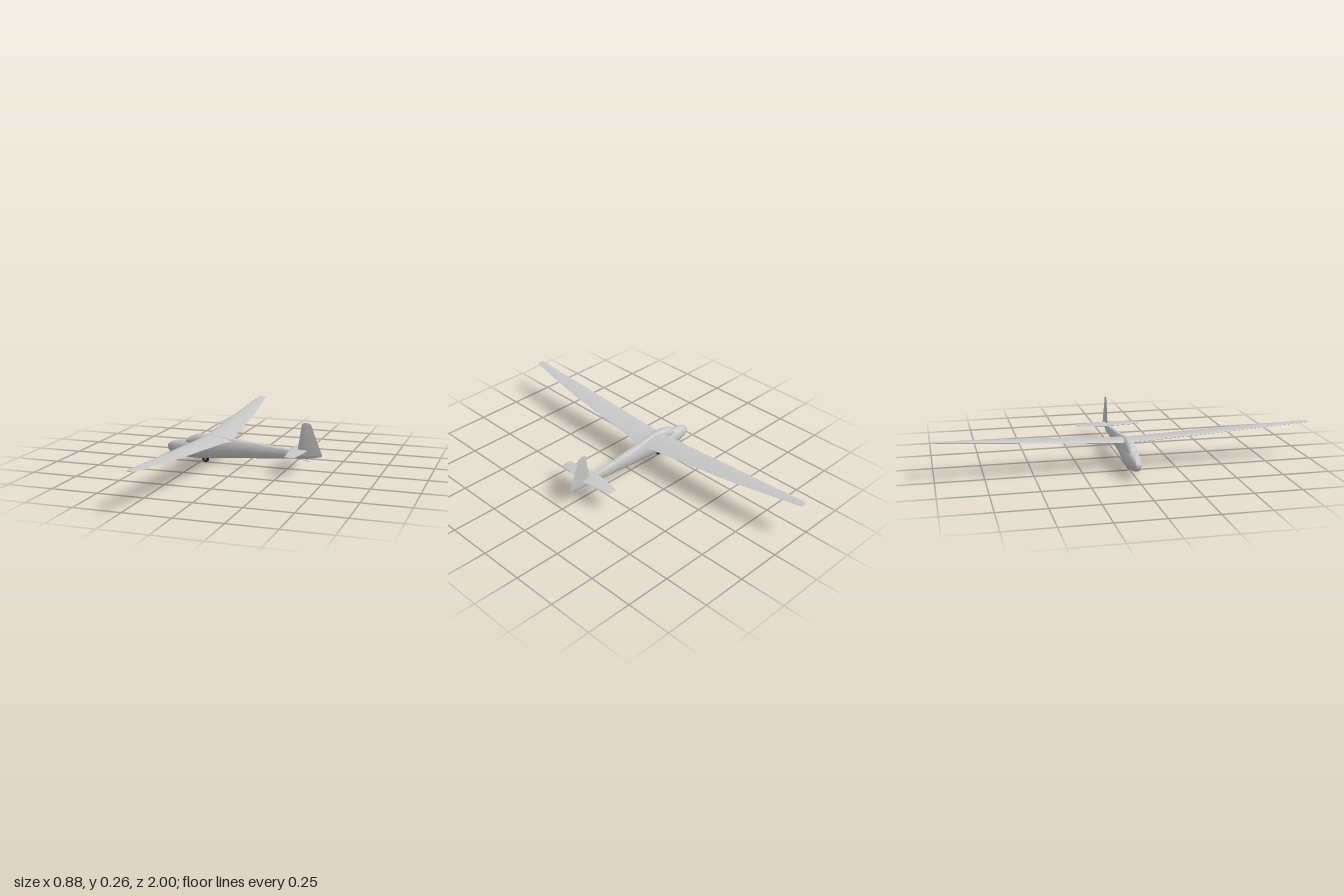
import * as THREE from 'three';
import { toCreasedNormals } from 'three/addons/utils/BufferGeometryUtils.js';

const paint = new THREE.MeshStandardMaterial({ color: 0xc8c8c8 });
paint.name = 'lightGreyPaint';
const rubber = new THREE.MeshStandardMaterial({ color: 0x1c1c1c });
rubber.name = 'blackRubber';

// Skins a row of closed rings and caps both ends
function loft(rings, crease = 0.7) {
  const n = rings[0].length, m = rings.length, pos = [], idx = [];
  rings.forEach(r => r.forEach(p => pos.push(...p)));
  for (const r of [rings[0], rings[m - 1]]) {
    pos.push(...[0, 1, 2].map(k => r.reduce((s, p) => s + p[k], 0) / n));
  }
  for (let j = 0; j < n; j++) {
    const k = (j + 1) % n;
    for (let i = 0; i < m - 1; i++) {
      const a = i * n + j, b = i * n + k;
      idx.push(a, a + n, b, b, a + n, b + n);
    }
    idx.push(m * n, j, k, m * n + 1, (m - 1) * n + k, (m - 1) * n + j);
  }
  const g = new THREE.BufferGeometry();
  g.setAttribute('position', new THREE.Float32BufferAttribute(pos, 3));
  g.setIndex(idx);
  return toCreasedNormals(g, crease);
}

// Oval body from stations [x, bottom, top, halfWidth], smoothed along its length
function body(stations, n = 32, steps = 60) {
  const side = new THREE.CatmullRomCurve3(stations.map(s => new THREE.Vector3(s[0], s[1], s[3])));
  const top = new THREE.CatmullRomCurve3(stations.map(s => new THREE.Vector3(s[0], s[2], 0)));
  const rings = [];
  for (let i = 0; i <= steps; i++) {
    const p = side.getPoint(i / steps), q = top.getPoint(i / steps);
    const cy = (p.y + q.y) / 2, h = (q.y - p.y) / 2;
    rings.push(Array.from({ length: n }, (_, j) => {
      const a = (j / n) * Math.PI * 2;
      return [p.x, cy + h * Math.sin(a), p.z * Math.cos(a)];
    }));
  }
  return loft(rings, 1.2);
}

// Aerofoil outline: out along one face, back along the other
function foil(le, te, up, down, place) {
  const n = 12, ring = [];
  const shape = u => 2.6 * Math.sqrt(u) * (1 - u) * (1 - 0.25 * u) + 0.03;
  for (let i = 0; i < n * 2; i++) {
    const a = (i / n) * Math.PI, u = (1 - Math.cos(a)) / 2;
    const off = i === 0 || i === n ? 0 : i < n ? up * shape(u) : -down * shape(u);
    ring.push(place(le + (te - le) * u, off, u));
  }
  return ring;
}

// Wing through both sides from half-span stations [z, le, te, leY, teY, up, down]
function fullSpan(half) {
  const all = [...half.map(s => [-s[0], ...s.slice(1)]).reverse(), ...half];
  return loft(all.map(([z, le, te, y0, y1, up, down]) =>
    foil(le, te, up, down, (x, off, u) => [x, y0 + (y1 - y0) * u + off, z])));
}

export function createModel() {
  const model = new THREE.Group();
  const add = (name, geo, mat, parent = model) => {
    const mesh = new THREE.Mesh(geo, mat);
    mesh.name = name;
    parent.add(mesh);
    return mesh;
  };

  // Fuselage and the raised cockpit fairing
  add('fuselage', body([
    [-0.443, 0.073, 0.075, 0.001], [-0.438, 0.059, 0.089, 0.012], [-0.425, 0.047, 0.1, 0.02],
    [-0.4, 0.036, 0.11, 0.028], [-0.36, 0.027, 0.117, 0.035], [-0.31, 0.022, 0.122, 0.038],
    [-0.25, 0.021, 0.135, 0.038], [-0.2, 0.023, 0.148, 0.037], [-0.13, 0.029, 0.15, 0.033],
    [-0.05, 0.036, 0.144, 0.028], [0.1, 0.046, 0.128, 0.02], [0.22, 0.055, 0.115, 0.013],
    [0.31, 0.061, 0.105, 0.008], [0.37, 0.068, 0.098, 0.003],
  ]), paint);
  add('canopy', body([
    [-0.331, 0.1, 0.12, 0.014], [-0.322, 0.09, 0.13, 0.022], [-0.3, 0.085, 0.143, 0.027],
    [-0.265, 0.085, 0.156, 0.03], [-0.225, 0.085, 0.161, 0.03], [-0.17, 0.085, 0.159, 0.028],
    [-0.1, 0.09, 0.151, 0.024], [-0.03, 0.1, 0.142, 0.018],
  ], 28, 40), paint);

  // Tapered wing with dihedral and a root fillet
  add('wing', fullSpan([
    [0.015, -0.227, -0.055, 0.141, 0.131, 0.016, 0.007],
    [0.035, -0.227, -0.064, 0.142, 0.132, 0.015, 0.006],
    [0.06, -0.227, -0.073, 0.143, 0.134, 0.014, 0.005],
    [0.1, -0.227, -0.079, 0.145, 0.137, 0.013, 0.005],
    [0.35, -0.227, -0.1, 0.159, 0.154, 0.01, 0.004],
    [0.6, -0.227, -0.122, 0.173, 0.17, 0.008, 0.003],
    [0.985, -0.226, -0.181, 0.196, 0.195, 0.003, 0.002],
    [0.996, -0.223, -0.182, 0.197, 0.196, 0.002, 0.001],
    [1, -0.216, -0.187, 0.197, 0.197, 0.001, 0.001],
  ]), paint);

  // Horizontal tail
  add('tailplane', fullSpan([
    [0.004, 0.259, 0.361, 0.108, 0.108, 0.005, 0.005],
    [0.03, 0.261, 0.359, 0.108, 0.108, 0.005, 0.005],
    [0.17, 0.281, 0.338, 0.108, 0.108, 0.003, 0.003],
    [0.179, 0.284, 0.335, 0.108, 0.108, 0.002, 0.002],
    [0.183, 0.291, 0.329, 0.108, 0.108, 0.001, 0.001],
  ]), paint);

  // Fin and rudder, stations [y, le, te, halfThickness]
  add('fin', loft([
    [0.061, 0.3, 0.345, 0.003], [0.068, 0.3, 0.385, 0.004], [0.078, 0.3, 0.433, 0.005],
    [0.085, 0.301, 0.441, 0.005], [0.105, 0.305, 0.433, 0.005], [0.17, 0.315, 0.407, 0.004],
    [0.245, 0.326, 0.379, 0.003], [0.253, 0.33, 0.374, 0.002], [0.257, 0.338, 0.366, 0.001],
  ].map(([y, le, te, t]) => foil(le, te, t, t, (x, off) => [x, y, -off]))), paint);

  // Sprung tail skid and its strut
  const skidPath = new THREE.CatmullRomCurve3([[0.3, 0.062], [0.34, 0.055], [0.375, 0.05]]
    .map(([x, y]) => new THREE.Vector3(x, y, 0)));
  add('tailSkid', new THREE.TubeGeometry(skidPath, 10, 0.0015, 6), paint);
  add('skidStrut', new THREE.CylinderGeometry(0.0015, 0.0015, 0.014, 6), paint).position.set(0.354, 0.059, 0);

  // Landing wheel with spokes
  const wheel = new THREE.Group();
  wheel.name = 'landingWheel';
  wheel.position.set(-0.218, 0.02, 0);
  model.add(wheel);
  add('tyre', new THREE.TorusGeometry(0.0145, 0.0055, 12, 32), rubber, wheel);
  add('wheelDisc', new THREE.CylinderGeometry(0.012, 0.012, 0.004, 24), rubber, wheel).rotation.x = Math.PI / 2;
  add('hub', new THREE.CylinderGeometry(0.003, 0.003, 0.011, 16), paint, wheel).rotation.x = Math.PI / 2;
  for (let i = 0; i < 4; i++) {
    add('spoke', new THREE.BoxGeometry(0.021, 0.0012, 0.006), paint, wheel).rotation.z = (i * Math.PI) / 4;
  }
  return model;
}
